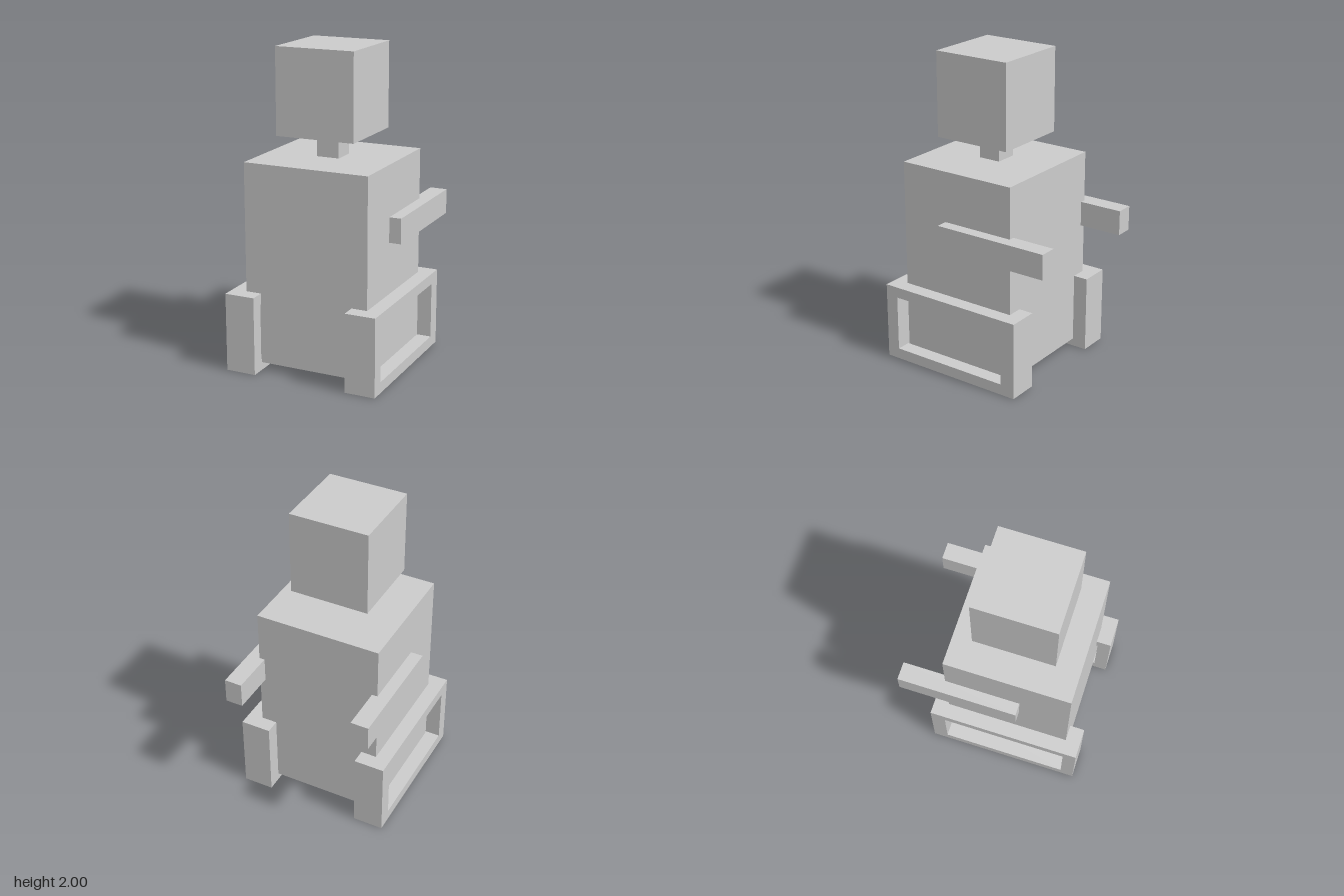
import * as THREE from 'three';

const material = new THREE.MeshStandardMaterial({ color: 0xcccccc, flatShading: true });

// Box given by its [min, max] extent on each axis
function block(name, [x0, x1], [y0, y1], [z0, z1]) {
  const mesh = new THREE.Mesh(new THREE.BoxGeometry(x1 - x0, y1 - y0, z1 - z0), material);
  mesh.position.set((x0 + x1) / 2, (y0 + y1) / 2, (z0 + z1) / 2);
  mesh.name = name;
  return mesh;
}

// Closed rectangle outline for shapes and holes
function rectangle(path, x0, y0, x1, y1) {
  path.moveTo(x0, y0);
  path.lineTo(x1, y0);
  path.lineTo(x1, y1);
  path.lineTo(x0, y1);
  path.closePath();
  return path;
}

// Rectangular track frame with an open middle, drawn in z/y and extruded across x
function trackFrame(name, outerX) {
  const width = 0.195;
  const shape = rectangle(new THREE.Shape(), -0.4, 0, 0.59, 0.5);
  shape.holes.push(rectangle(new THREE.Path(), -0.305, 0.07, 0.505, 0.43));
  const geometry = new THREE.ExtrudeGeometry(shape, { depth: width, bevelEnabled: false });
  geometry.rotateY(-Math.PI / 2);
  const mesh = new THREE.Mesh(geometry, material);
  mesh.position.x = outerX > 0 ? outerX : outerX + width;
  mesh.name = name;
  return mesh;
}

export function createModel() {
  const model = new THREE.Group();
  model.name = 'robot';

  // Torso, neck and head
  model.add(
    block('body', [-0.406, 0.406], [0.05, 1.315], [-0.305, 0.495]),
    block('neck', [-0.08, 0.066], [1.3, 1.47], [0.022, 0.168]),
    block('head', [-0.262, 0.248], [1.46, 2], [-0.163, 0.35])
  );

  // Arms reaching backward, and the track frames
  model.add(
    block('leftArm', [0.37, 0.482], [0.83, 0.99], [-0.59, 0.176]),
    block('rightArm', [-0.485, -0.37], [0.83, 0.99], [-0.59, 0.176]),
    trackFrame('leftTrack', 0.5),
    trackFrame('rightTrack', -0.5)
  );

  return model;
}
